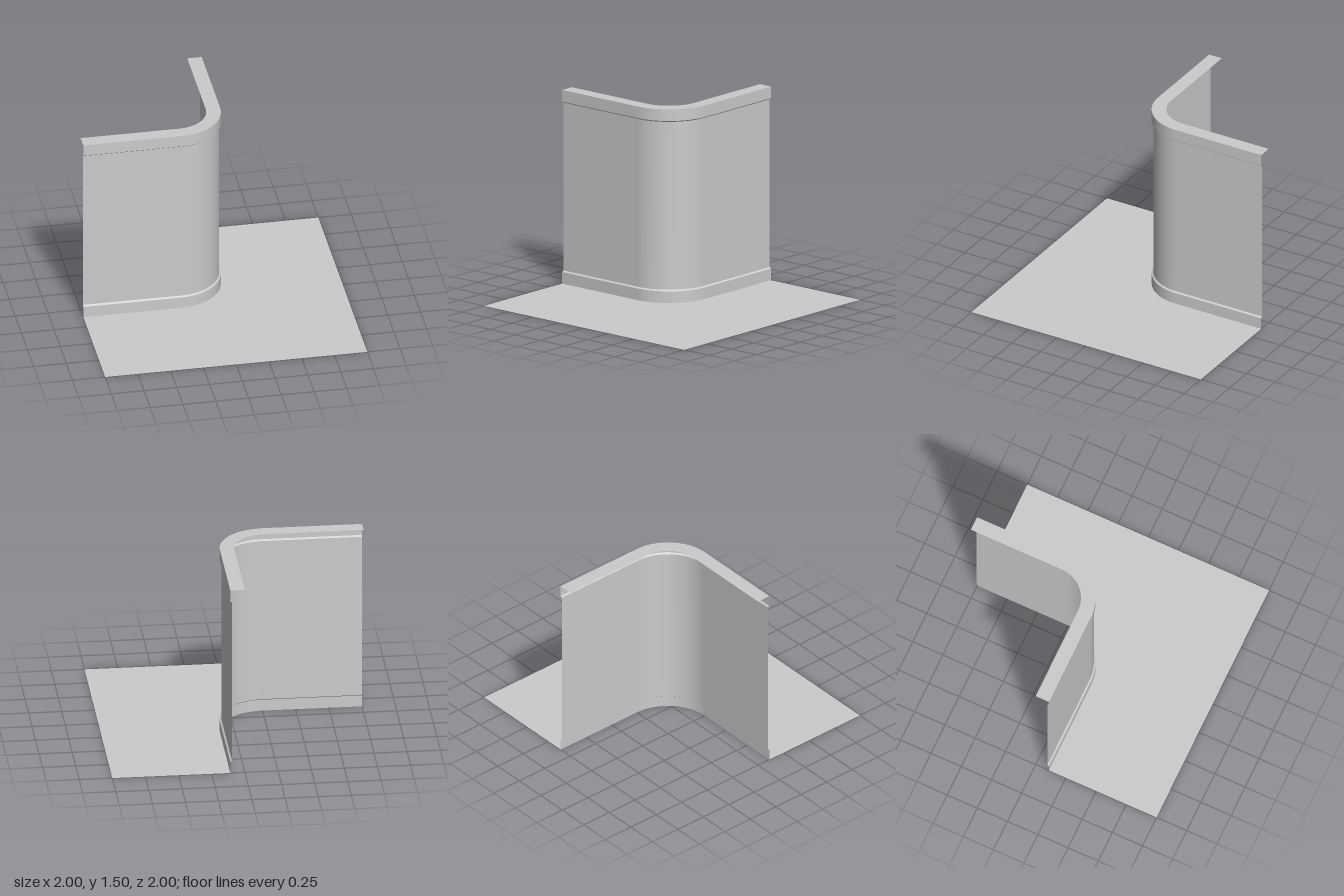
import * as THREE from 'three';
import { mergeGeometries } from 'three/addons/utils/BufferGeometryUtils.js';

const RADIUS = 0.25; // inner radius of the rounded corner
const STEPS = 24;
const FACE = 0.11;   // outer face of the trims
const WALL = 0.097;  // outer face of the wall

// Plan of the L-shaped run as [x, z], moved outwards by d
function plan(d) {
  const points = [[-1, d]];
  for (let i = 0; i <= STEPS; i++) {
    const a = (i / STEPS) * Math.PI / 2;
    const r = RADIUS + d;
    points.push([-RADIUS + r * Math.sin(a), -RADIUS + r * Math.cos(a)]);
  }
  points.push([d, -1]);
  return points;
}

// One smooth strip between two profile points [offset, y]
function strip([d0, y0], [d1, y1]) {
  const a = plan(d0), b = plan(d1);
  const position = [], index = [];
  a.forEach(([x, z], i) => {
    position.push(x, y0, z, b[i][0], y1, b[i][1]);
    if (i > 0) {
      const k = 2 * i;
      index.push(k - 2, k, k + 1, k - 2, k + 1, k - 1);
    }
  });
  const geometry = new THREE.BufferGeometry();
  geometry.setAttribute('position', new THREE.Float32BufferAttribute(position, 3));
  geometry.setIndex(index);
  geometry.computeVertexNormals();
  return geometry;
}

// Sweep a profile along the plan, keeping its own edges sharp
function sweep(profile) {
  return mergeGeometries(profile.slice(1).map((p, i) => strip(profile[i], p)));
}

export function createModel() {
  const group = new THREE.Group();
  const material = new THREE.MeshStandardMaterial({ color: 0xcccccc, side: THREE.DoubleSide });
  const add = (name, geometry) => {
    const mesh = new THREE.Mesh(geometry, material);
    mesh.name = name;
    group.add(mesh);
  };

  // Wall with a skirting below and a capped trim above
  add('skirting', sweep([[FACE, 0], [FACE, 0.09], [WALL, 0.1]]));
  add('wall', sweep([[WALL, 0.1], [WALL, 1.4]]));
  add('topTrim', sweep([[WALL, 1.4], [FACE, 1.41], [FACE, 1.5], [0, 1.5]]));

  // Floor filling the square in front of the skirting
  const outline = [...plan(FACE), [1, -1], [1, 1], [-1, 1]];
  const shape = new THREE.Shape(outline.map(([x, z]) => new THREE.Vector2(x, -z)));
  add('floor', new THREE.ShapeGeometry(shape).rotateX(-Math.PI / 2));

  return group;
}
